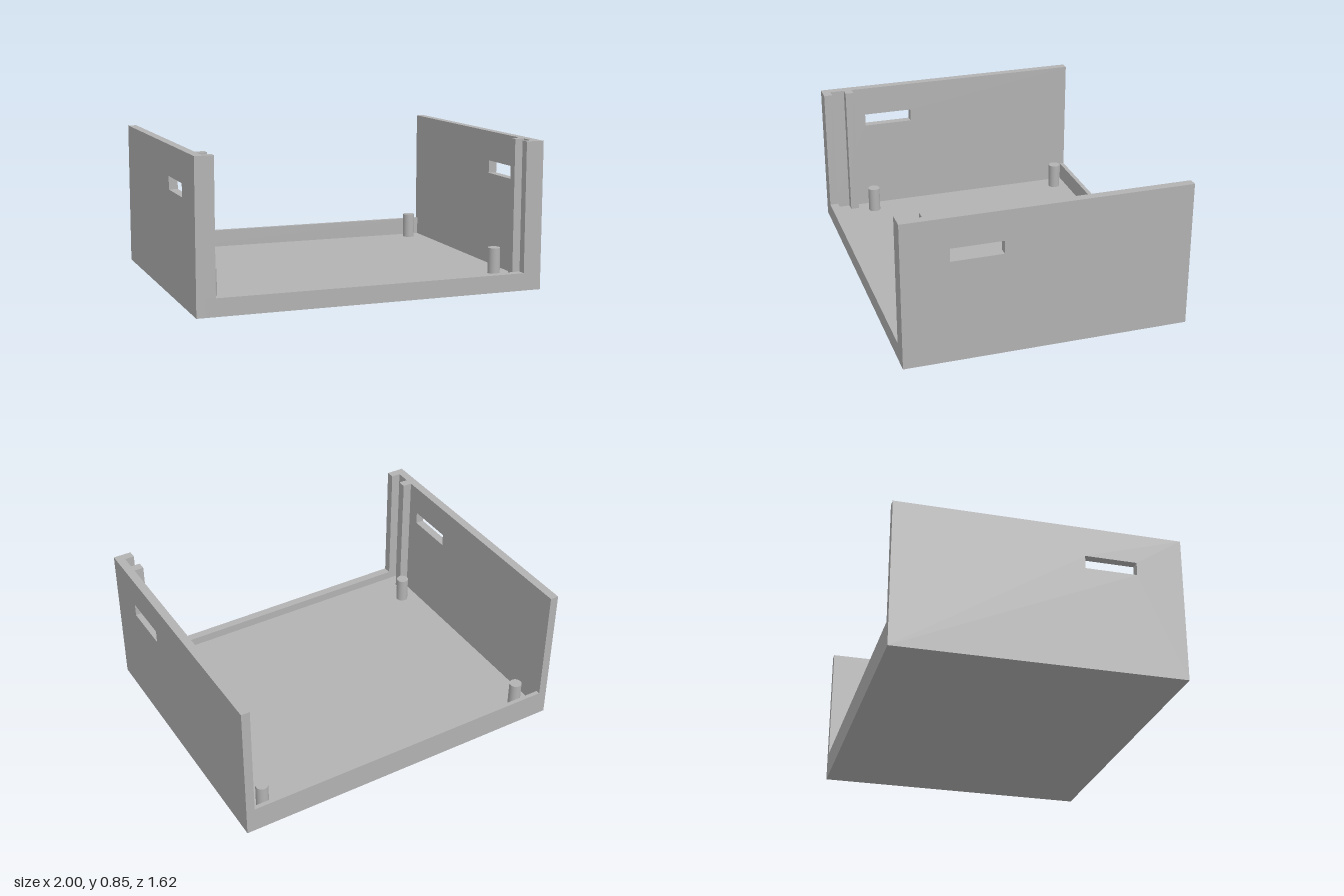
import * as THREE from 'three';

const H = 0.845, D = 0.81, WALL = 0.05, FLOOR = 0.05;

export function createModel() {
  const group = new THREE.Group();
  const grey = new THREE.MeshStandardMaterial({ color: 0xb2b2b2 });
  grey.name = 'grey plastic';

  const add = (name, geometry) => {
    const mesh = new THREE.Mesh(geometry, grey);
    mesh.name = name;
    group.add(mesh);
  };
  // Box given by its extents along each axis
  const box = (name, x0, x1, y0, y1, z0, z1) => add(name,
    new THREE.BoxGeometry(x1 - x0, y1 - y0, z1 - z0)
      .translate((x0 + x1) / 2, (y0 + y1) / 2, (z0 + z1) / 2));
  // Rectangle points in the z, y plane
  const rect = (z0, z1, y0, y1) => [[z0, y0], [z1, y0], [z1, y1], [z0, y1]]
    .map(([z, y]) => new THREE.Vector2(z, y));

  // Tray: floor, low front sill and taller, thinner back sill
  const inner = 1 - WALL;
  box('floor', -inner, inner, 0, FLOOR, -D, D);
  box('frontSill', -inner, inner, FLOOR, 0.1, 0.76, D);
  box('backSill', -inner, inner, FLOOR, 0.155, -D, -0.785);

  // Side wall outline with the slot cut through it
  const outline = new THREE.Shape(rect(-D, D, 0, H));
  outline.holes.push(new THREE.Path(rect(0.25, 0.545, 0.595, 0.67)));

  for (const [side, s] of [['left', 1], ['right', -1]]) {
    add(side + 'Wall', new THREE.ExtrudeGeometry(outline, { depth: WALL, bevelEnabled: false })
      .rotateY(-Math.PI / 2)
      .translate(s > 0 ? 1 : -inner, 0, 0));

    // Flange and rib form the groove for a sliding front panel
    const [x0, x1] = s > 0 ? [0.895, inner] : [-inner, -0.895];
    box(side + 'FrontFlange', x0, x1, 0.1, H, 0.76, D);
    box(side + 'GrooveRib', x0, x1, FLOOR, H, 0.625, 0.675);

    // Mounting posts
    for (const [end, z] of [['Front', 0.53], ['Back', -0.705]]) {
      add(side + end + 'Post', new THREE.CylinderGeometry(0.036, 0.036, 0.15, 32)
        .translate(s * 0.85, FLOOR + 0.075, z));
    }
  }
  return group;
}
